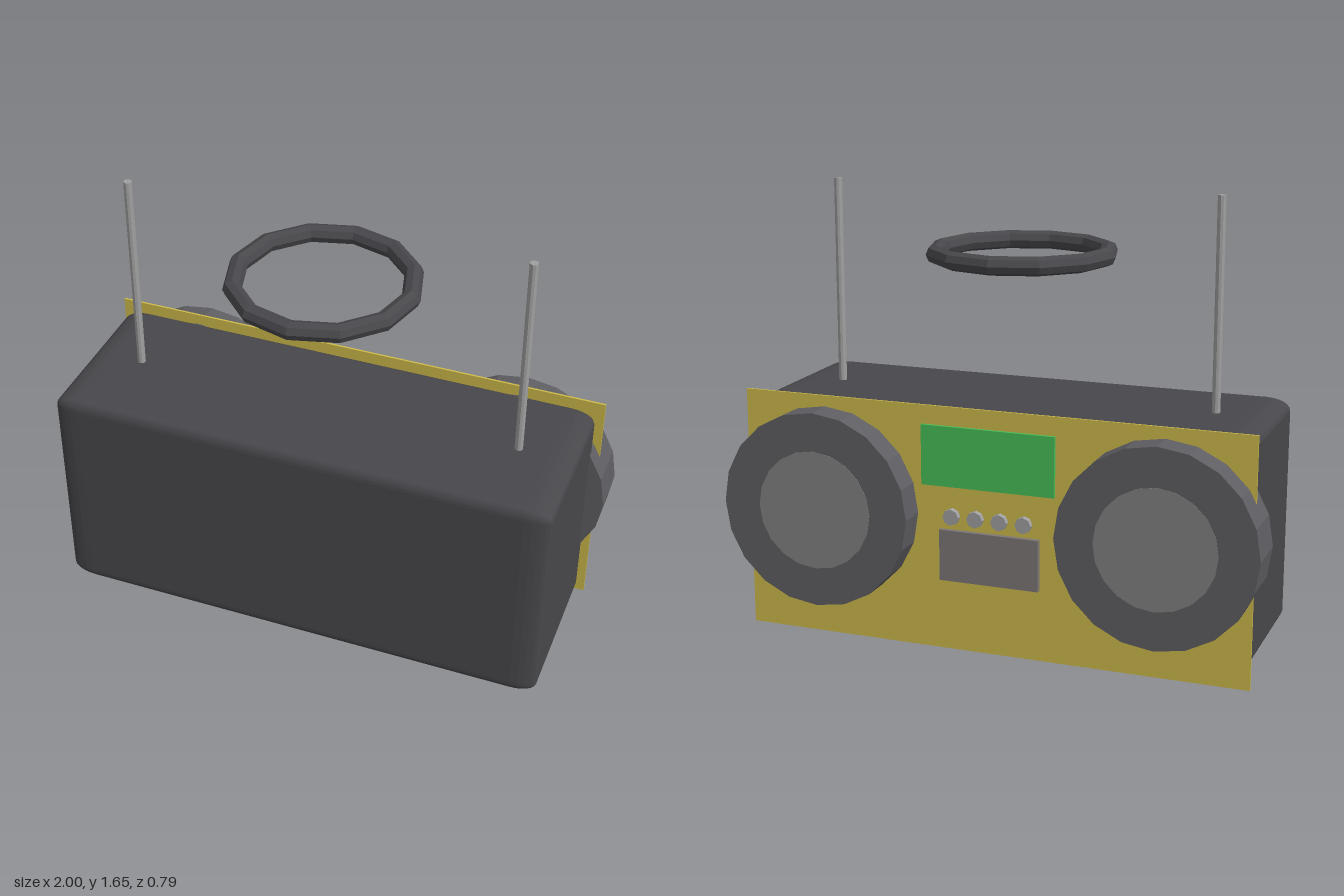
import * as THREE from 'three';
import { RoundedBoxGeometry } from 'three/addons/geometries/RoundedBoxGeometry.js';

const mat = (color) => new THREE.MeshStandardMaterial({ color, flatShading: true });

export function createModel() {
  const group = new THREE.Group();
  group.name = 'portableRadio';

  const dark = mat(0x48474b);
  const speakerGrey = mat(0x5e5e63);
  const coneGrey = mat(0x808080);
  const metal = mat(0xa0a0a0);
  const yellow = mat(0xcdb94a);
  const green = mat(0x48bd56);
  const deckGrey = mat(0x7c7775);

  const add = (name, geometry, material, x, y, z) => {
    const mesh = new THREE.Mesh(geometry, material);
    mesh.name = name;
    mesh.position.set(x, y, z);
    group.add(mesh);
    return mesh;
  };
  // cylinder whose first end faces the back (-z)
  const backDisc = (rBack, rFront, depth, sides) =>
    new THREE.CylinderGeometry(rBack, rFront, depth, sides).rotateX(-Math.PI / 2);

  // cabinet: a bevelled cube stretched to size, so the bevel is widest along x
  const cabinet = new RoundedBoxGeometry(1, 1, 1, 3, 0.05).scale(1.86, 0.856, 0.632);
  add('cabinet', cabinet, dark, 0, 0.457, 0.046);

  // thin control panel on the back (-z) side
  add('controlPanel', new THREE.BoxGeometry(1.91, 0.905, 0.008), yellow, 0, 0.4525, -0.285);

  // speakers and antennas, mirrored
  for (const [side, s] of [['left', 1], ['right', -1]]) {
    add(side + 'Speaker', backDisc(0.362, 0.362, 0.182, 20), speakerGrey, s * 0.638, 0.503, -0.306);
    add(side + 'SpeakerCone', backDisc(0.22, 0.22, 0.01, 20), coneGrey, s * 0.638, 0.503, -0.394);
    add(side + 'Antenna', new THREE.CylinderGeometry(0.015, 0.015, 0.85, 10), metal, s * 0.726, 1.225, 0.042);
  }

  // display, tape deck and knobs
  add('display', new THREE.BoxGeometry(0.5, 0.22, 0.012), green, 0, 0.73, -0.31);
  add('tapeDeck', new THREE.BoxGeometry(0.375, 0.19, 0.02), deckGrey, 0, 0.36, -0.297);
  for (let i = 0; i < 4; i++) {
    const x = (i - 1.5) * 0.091;
    add('knob' + (i + 1), backDisc(0.03, 0.03, 0.022, 8), metal, x, 0.51, -0.314);
    add('knobStem' + (i + 1), backDisc(0.02, 0.02, 0.02, 8), metal, x, 0.51, -0.294);
  }

  // ring handle above the cabinet
  const ring = new THREE.TorusGeometry(0.315, 0.034, 8, 12).rotateX(Math.PI / 2);
  add('ringHandle', ring, dark, 0, 1.412, 0.043);

  return group;
}
